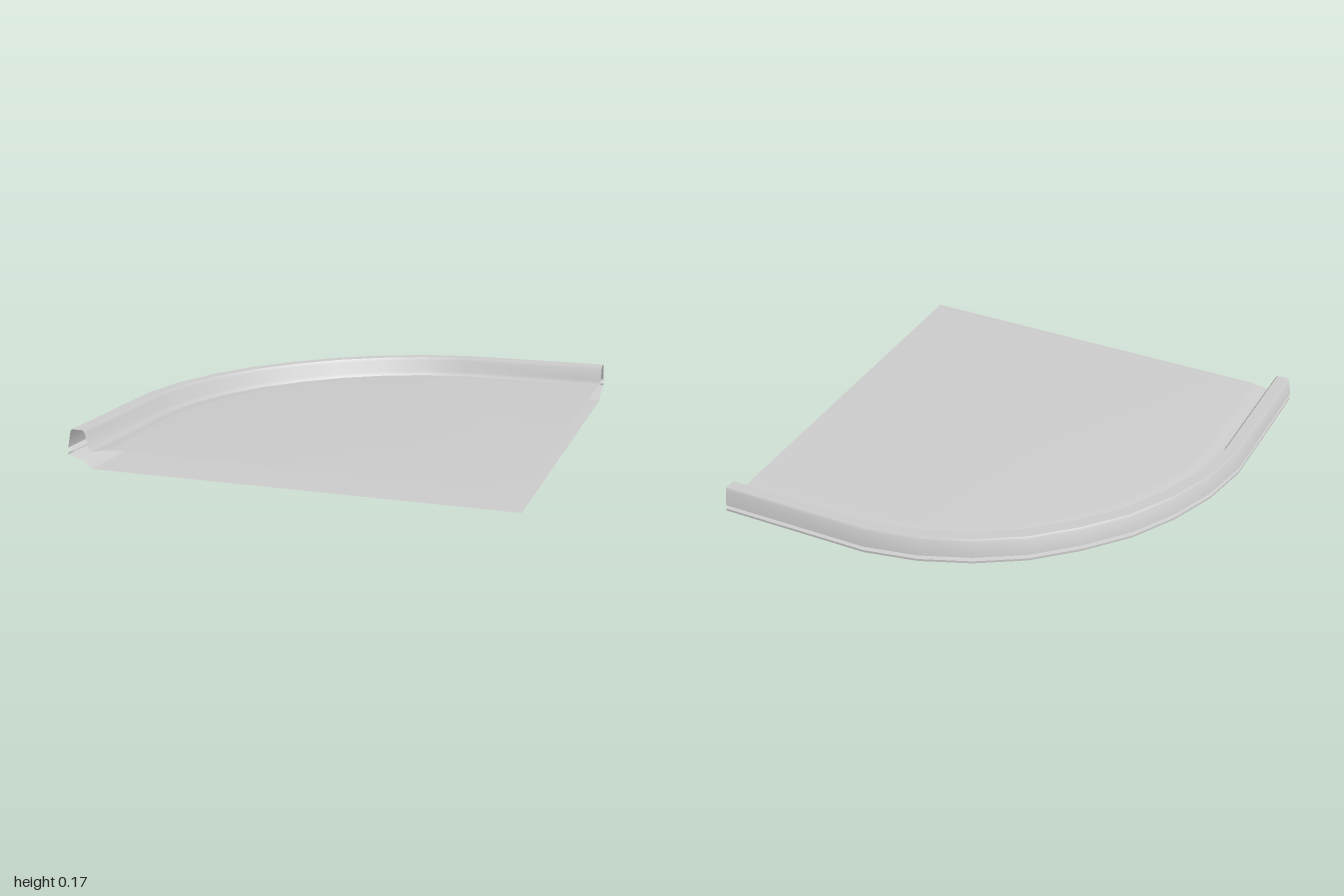
import * as THREE from 'three';
import { toCreasedNormals } from 'three/addons/utils/BufferGeometryUtils.js';

// Half of the rounded outline (x, z); the other half mirrors across the diagonal
const half = [[1, -1], [0.29, -0.98], [0.05, -0.928], [-0.17, -0.838], [-0.375, -0.715], [-0.555, -0.555]];
const outline = [...half, ...half.slice(0, -1).reverse().map(([x, z]) => [z, x])]
  .map(([x, z]) => new THREE.Vector2(x, z));

// Inward mitre direction at each outline point; the cut ends stay in their planes
const inward = outline.map((p, i) => {
  if (i === 0) return new THREE.Vector2(0, 1);
  if (i === outline.length - 1) return new THREE.Vector2(1, 0);
  const t = outline[i + 1].clone().sub(outline[i - 1]).normalize();
  return new THREE.Vector2(t.y, -t.x);
});

// Sweep a profile of [inset, height] round the outline, then close the floor to the square corner
function sheet(name, profile, facesUp) {
  const pos = [], index = [];
  const rows = profile.length + 1;
  outline.forEach((p, i) => {
    for (const [d, y] of profile) pos.push(p.x + inward[i].x * d, y, p.y + inward[i].y * d);
    pos.push(1, profile[profile.length - 1][1], 1);
  });
  const tri = (a, b, c) => (facesUp ? index.push(a, c, b) : index.push(a, b, c));
  for (let i = 0; i < outline.length - 1; i++) {
    for (let k = 0; k < rows - 1; k++) {
      const a = i * rows + k, c = a + rows;
      tri(a, a + 1, c);
      if (k < rows - 2) tri(a + 1, c + 1, c);
    }
  }
  const geo = new THREE.BufferGeometry();
  geo.setAttribute('position', new THREE.Float32BufferAttribute(pos, 3));
  geo.setIndex(index);
  const mesh = new THREE.Mesh(
    toCreasedNormals(geo, 0.75),
    new THREE.MeshStandardMaterial({ color: 0xcccccc, side: THREE.DoubleSide })
  );
  mesh.name = name;
  return mesh;
}

export function createModel() {
  const group = new THREE.Group();
  group.name = 'quarterTray';

  // Raised rim, shallow groove and top floor
  group.add(sheet('upperShell', [
    [0.03, 0.078], [0, 0.086], [0.015, 0.16], [0.022, 0.17], [0.075, 0.17],
    [0.085, 0.155], [0.095, 0.1], [0.108, 0.081], [0.13, 0.08], [0.16, 0.087], [0.21, 0.093],
  ], true));

  // Thin outer lip stepping down to the flat underside
  group.add(sheet('lowerShell', [
    [0.03, 0.072], [0, 0.066], [0, 0.055], [0.07, 0.035], [0.085, 0.025], [0.11, 0],
  ], false));

  return group;
}
